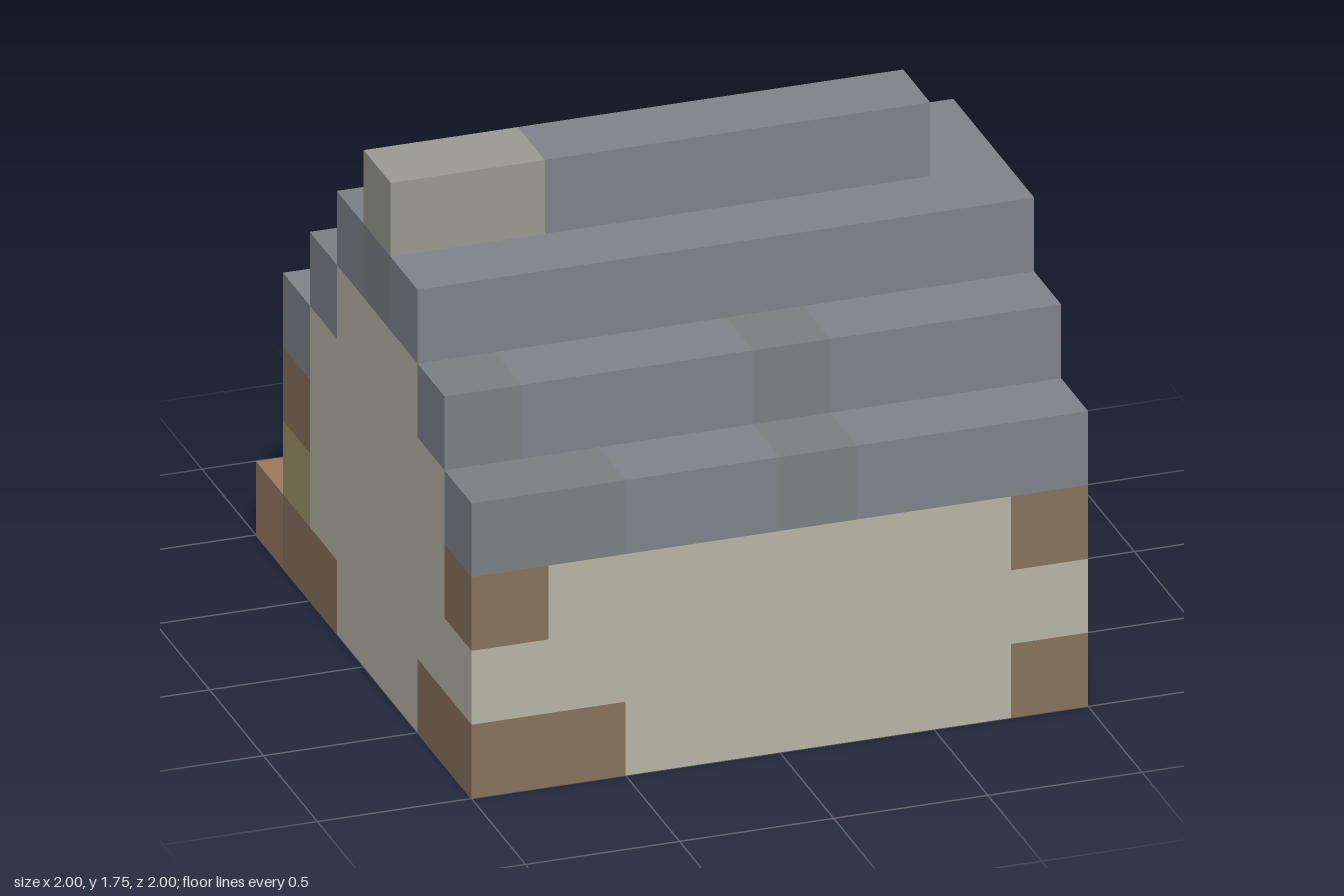
import * as THREE from 'three';

const PLASTER = 0xbab6a8, TIMBER = 0x8a7560, SLATE = 0x80858c, MOSS = 0x7c8285, CAP = 0x9c9c94;
const DECK = 0x9d907c, DECK_END = 0x9b7b62, DOOR = 0x735f4f, PLANK = 0x97795f, LAMP = 0xa3966a;
const PALE = 0xbcb8b2, FLOOR = 0x574a3e, STONE = 0x9a9fa3;

const materials = {};
const material = (color) =>
  (materials[color] ??= new THREE.MeshStandardMaterial({ color, side: THREE.DoubleSide }));

export function createModel() {
  const model = new THREE.Group();

  // flat rectangle spanning two corners; one of its three sizes is zero
  function panel(name, color, a, b) {
    const [w, h, d] = a.map((v, i) => Math.abs(b[i] - v));
    let geometry;
    if (w === 0) geometry = new THREE.PlaneGeometry(d, h).rotateY(a[0] < 0 ? -Math.PI / 2 : Math.PI / 2);
    else if (h === 0) geometry = new THREE.PlaneGeometry(w, d).rotateX(-Math.PI / 2);
    else geometry = new THREE.PlaneGeometry(w, h).rotateY(a[2] < 0 ? Math.PI : 0);
    const mesh = new THREE.Mesh(geometry, material(color));
    mesh.name = name;
    mesh.position.set(...a.map((v, i) => (v + b[i]) / 2));
    model.add(mesh);
  }

  // rows of coloured segments: [start, colour, end, colour, end, ...]
  function segments(list, draw) {
    for (let i = 0; i + 2 < list.length; i += 2) draw(list[i], list[i + 2], list[i + 1]);
  }
  const rowX = (name, z, y, list) => segments(list, (p, q, c) => panel(name, c, [p, y, z], [q, y + 0.25, z]));
  const rowZ = (name, x, y, list) => segments(list, (p, q, c) => panel(name, c, [x, y, p], [x, y + 0.25, q]));
  const tread = (name, y, z0, z1, list) => segments(list, (p, q, c) => panel(name, c, [p, y, z0], [q, y, z1]));

  // front wall with timber corners
  rowX('frontWall', 1, 0, [-1, TIMBER, -0.5, PLASTER, 0.75, TIMBER, 1]);
  rowX('frontWall', 1, 0.25, [-1, PLASTER, 1]);
  rowX('frontWall', 1, 0.5, [-1, TIMBER, -0.75, PLASTER, 0.75, TIMBER, 1]);

  // back wall with door and lamp, above the porch
  rowX('backWall', -0.75, 0.25, [-1, LAMP, -0.75, PLANK, -0.25, DOOR, 0.25, PLANK, 0.5, PALE, 1]);
  rowX('backWall', -0.75, 0.5, [-1, TIMBER, -0.75, PLASTER, 0.75, TIMBER, 1]);

  // gable ends, stepping in towards the ridge
  for (const x of [-1, 1]) {
    const name = x > 0 ? 'leftGable' : 'rightGable';
    rowZ(name, x, 0, [-0.75, TIMBER, -0.25, PLASTER, 0.5, TIMBER, 1]);
    rowZ(name, x, 0.25, [-0.75, x < 0 ? LAMP : PLASTER, -0.5, PLASTER, 1]);
    rowZ(name, x, 0.5, [-0.75, TIMBER, -0.5, PLASTER, 0.75, TIMBER, 1]);
    rowZ(name, x, 0.75, [-0.75, SLATE, -0.5, PLASTER, 0.75, SLATE, 1]);
    rowZ(name, x, 1, [-0.5, SLATE, -0.25, PLASTER, 0.5, SLATE, 0.75]);
    rowZ(name, x, 1.25, [-0.25, SLATE, 0, MOSS, 0.25, SLATE, 0.5]);
  }

  // stepped roof courses, front and back
  const frontCourses = [
    [-1, MOSS, -0.5, SLATE, 0, MOSS, 0.25, SLATE, 1],
    [-1, MOSS, -0.75, SLATE, 0, MOSS, 0.25, SLATE, 1],
    [-1, SLATE, 1],
  ];
  const backCourses = [[-1, SLATE, 1], [-1, MOSS, -0.25, SLATE, 1], [-1, MOSS, -0.5, SLATE, 1]];
  for (let i = 0; i < 3; i++) {
    const y = 0.75 + i * 0.25, front = 1 - i * 0.25, back = -0.75 + i * 0.25;
    rowX('frontRoofCourse', front, y, frontCourses[i]);
    tread('frontRoofTread', y + 0.25, front - 0.25, front, frontCourses[i]);
    rowX('backRoofCourse', back, y, backCourses[i]);
    tread('backRoofTread', y + 0.25, back, back + 0.25, backCourses[i]);
  }
  tread('ridgeBed', 1.5, 0, 0.25, [-1, SLATE, 1]);

  // ridge beam with a pale cap at one end
  const ridge = [-1, CAP, -0.5, SLATE, 0.75];
  rowX('ridge', 0.25, 1.5, ridge);
  rowX('ridge', 0, 1.5, ridge);
  tread('ridge', 1.75, 0, 0.25, ridge);
  rowZ('ridgeEnd', -1, 1.5, [0, CAP, 0.25]);
  rowZ('ridgeEnd', 0.75, 1.5, [0, SLATE, 0.25]);

  // porch step behind the house
  const porch = [-1, DECK_END, -0.75, DECK, 1];
  rowX('porch', -1, 0, porch);
  tread('porch', 0.25, -1, -0.75, porch);
  rowZ('porchEnd', -1, 0, [-1, DECK_END, -0.75]);
  rowZ('porchEnd', 1, 0, [-1, DECK, -0.75]);

  // raised floor, notched around the hearth
  const outline = [[-0.75, -0.5], [0.75, -0.5], [0.75, 0.75], [-0.75, 0.75],
    [-0.75, 0.25], [-0.5, 0.25], [-0.5, 0], [-0.75, 0]];
  const floorShape = new THREE.Shape(outline.map(([x, z]) => new THREE.Vector2(x, -z)));
  const floor = new THREE.Mesh(new THREE.ShapeGeometry(floorShape).rotateX(-Math.PI / 2), material(FLOOR));
  floor.name = 'floor';
  floor.position.y = 0.25;
  model.add(floor);

  // hearth block, open underneath
  rowX('hearth', 0, 0.25, [-0.75, STONE, -0.5]);
  rowX('hearth', 0.25, 0.25, [-0.75, STONE, -0.5]);
  rowZ('hearth', -0.5, 0.25, [0, STONE, 0.25]);
  tread('hearth', 0.5, 0, 0.25, [-0.75, STONE, -0.5]);

  // inner faces of the room
  for (const y of [0.25, 0.5, 0.75]) {
    for (const x of [-0.75, 0.75]) rowZ('innerWall', x, y, [-0.5, PLASTER, 0.75]);
    for (const z of [-0.5, 0.75]) rowX('innerWall', z, y, [-0.75, PLASTER, 0.75]);
  }
  tread('ceiling', 1, -0.5, 0.75, [-0.75, TIMBER, 0.75]);

  return model;
}
